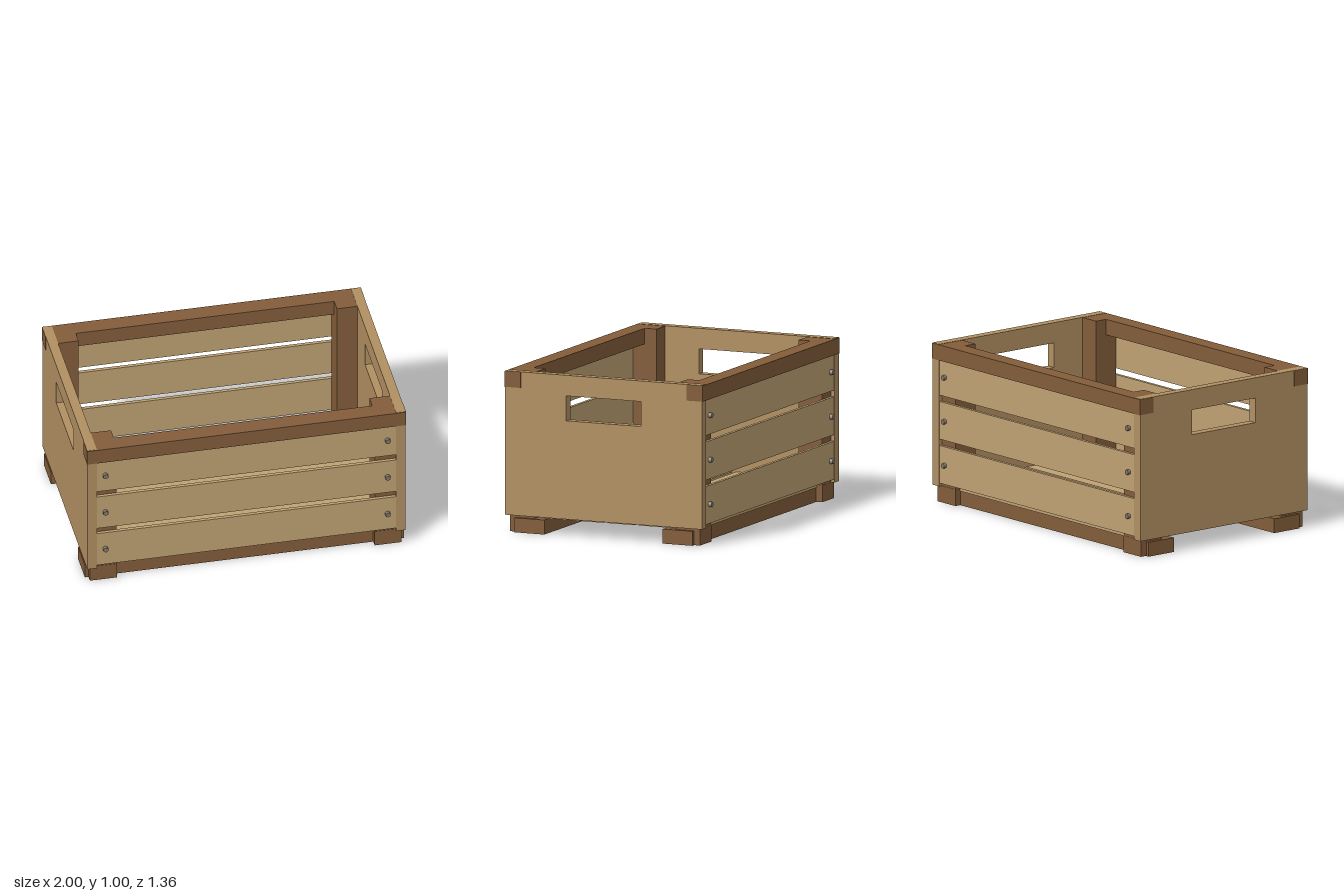
import * as THREE from 'three';

const mat = (color) => new THREE.MeshStandardMaterial({ color });

export function createModel() {
  const crate = new THREE.Group();
  crate.name = 'crate';
  const slatWood = mat(0xc0a274);
  const panelWood = mat(0xb19062);
  const darkWood = mat(0x835d3a);
  const metal = mat(0x857a6c);

  const add = (name, geometry, material, x = 0, y = 0, z = 0) => {
    const mesh = new THREE.Mesh(geometry, material);
    mesh.name = name;
    mesh.position.set(x, y, z);
    crate.add(mesh);
    return mesh;
  };
  // Box given by its lower and upper limits on each axis
  const box = (name, material, [x0, x1], [y0, y1], [z0, z1]) =>
    add(name, new THREE.BoxGeometry(x1 - x0, y1 - y0, z1 - z0), material,
      (x0 + x1) / 2, (y0 + y1) / 2, (z0 + z1) / 2);
  // Range mirrored to the given side
  const flip = (s, a, b) => (s > 0 ? [a, b] : [-b, -a]);

  // End panels with a rectangular hand hole
  const panel = new THREE.Shape([
    new THREE.Vector2(-0.665, 0.105), new THREE.Vector2(0.665, 0.105),
    new THREE.Vector2(0.665, 1), new THREE.Vector2(-0.665, 1),
  ]);
  panel.holes.push(new THREE.Path([
    new THREE.Vector2(-0.253, 0.717), new THREE.Vector2(-0.253, 0.872),
    new THREE.Vector2(0.253, 0.872), new THREE.Vector2(0.253, 0.717),
  ]));
  const panelGeometry = new THREE.ExtrudeGeometry(panel, { depth: 0.06, bevelEnabled: false });
  panelGeometry.rotateY(Math.PI / 2);
  for (const s of [-1, 1]) {
    add('endPanel', panelGeometry, panelWood, s > 0 ? 0.938 : -0.998);
  }

  // Floor slats
  for (let i = 0; i < 5; i++) {
    const z = 0.332 - i * 0.2115;
    box('floorSlat', slatWood, [-0.94, 0.94], [0.09, 0.125], [z - 0.092, z + 0.092]);
  }

  const boltGeometry = new THREE.CylinderGeometry(0.017, 0.017, 0.03, 6);
  boltGeometry.rotateX(Math.PI / 2);

  for (const sz of [-1, 1]) {
    // Long rails at the rim and under the floor
    box('topRail', darkWood, [-1, 1], [0.9, 0.998], flip(sz, 0.56, 0.67));
    box('bottomRail', darkWood, [-1, 1], [0, 0.09], flip(sz, 0.4, 0.6));

    // Side slats with a bolt near each end
    for (let i = 0; i < 3; i++) {
      const y = 0.125 + i * 0.277;
      box('sideSlat', slatWood, [-0.94, 0.94], [y, y + 0.237], flip(sz, 0.638, 0.66));
      for (const sx of [-1, 1]) {
        add('bolt', boltGeometry, metal, sx * 0.885, y + 0.12, sz * 0.667);
      }
    }

    // Corner posts and feet
    for (const sx of [-1, 1]) {
      box('cornerPost', darkWood, flip(sx, 0.81, 0.94), [0.05, 0.998], flip(sz, 0.48, 0.64));
      box('foot', darkWood, flip(sx, 0.808, 0.977), [0.001, 0.105], flip(sz, 0.478, 0.642));
    }
  }
  return crate;
}
